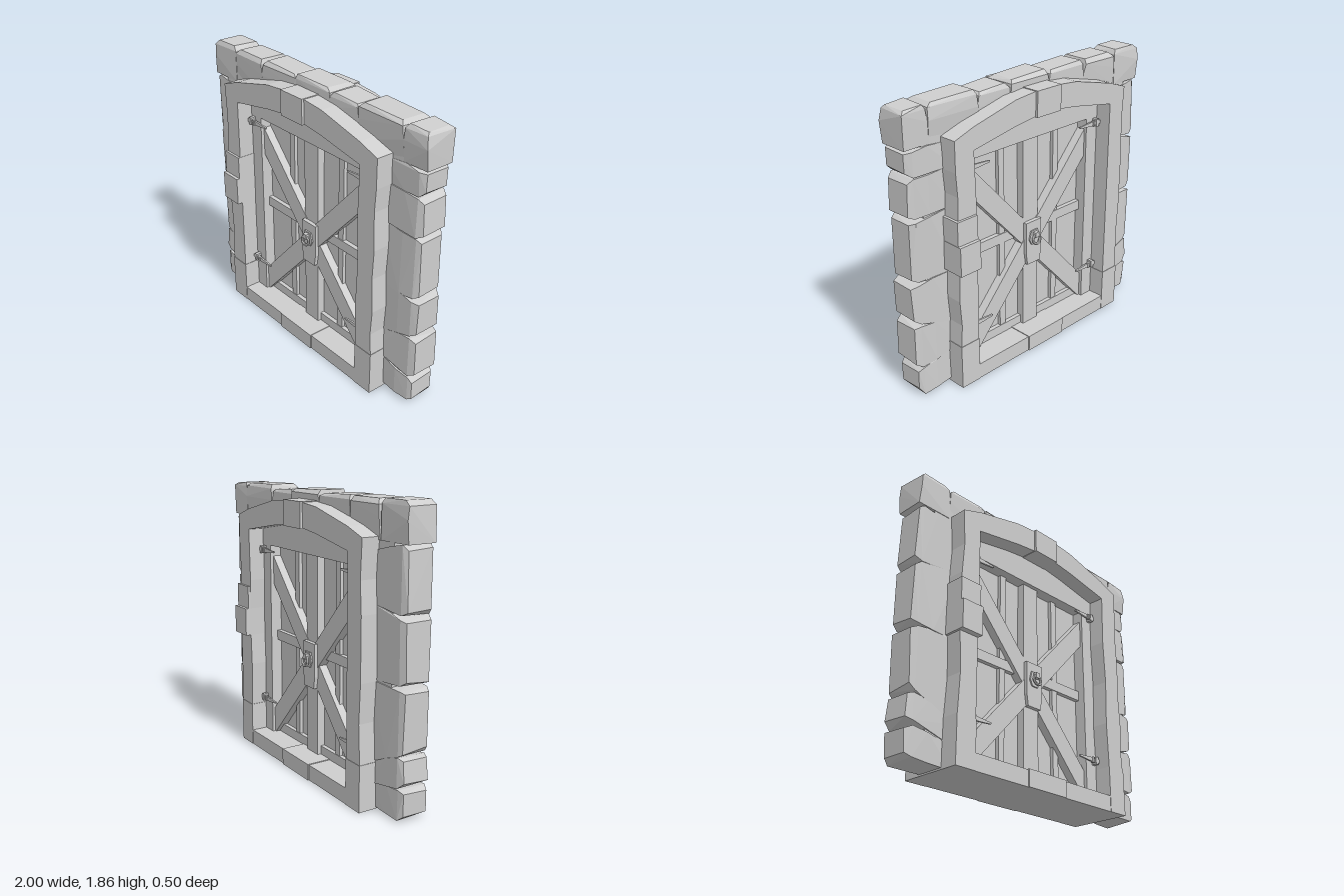
import * as THREE from 'three';
import { ConvexGeometry } from 'three/addons/geometries/ConvexGeometry.js';

const stoneGrey = new THREE.MeshStandardMaterial({ color: 0xcecece, flatShading: true });
stoneGrey.name = 'stoneGrey';

let seed = 11;
function rand(a, b) {
  seed = (seed * 16807) % 2147483647;
  return a + (b - a) * (seed / 2147483647);
}

function add(parent, name, geometry) {
  const mesh = new THREE.Mesh(geometry, stoneGrey);
  mesh.name = name;
  parent.add(mesh);
  return mesh;
}

// Box given by its limits
function block(parent, name, x0, x1, y0, y1, z0, z1) {
  const g = new THREE.BoxGeometry(x1 - x0, y1 - y0, z1 - z0);
  g.translate((x0 + x1) / 2, (y0 + y1) / 2, (z0 + z1) / 2);
  return add(parent, name, g);
}

// Flat outline extruded from z0 to z1, with an optional hole
function plate(parent, name, pts, z0, z1, hole) {
  const toV = (p) => new THREE.Vector2(p[0], p[1]);
  const shape = new THREE.Shape(pts.map(toV));
  if (hole) shape.holes.push(new THREE.Path(hole.map(toV)));
  const g = new THREE.ExtrudeGeometry(shape, { depth: z1 - z0, bevelEnabled: false });
  g.translate(0, 0, z0);
  return add(parent, name, g);
}

// Rough stone: spans innerEnds at the inner line, outerEnds at the outer edge, rounded off outside
function roughStone(parent, name, innerEnds, outerEnds, inner, outer, place) {
  const pts = [];
  const sections = [[0, 0, 0.094], [0.55, 0, 0.1], [0.86, 0.004, 0.1], [1, 0.02, 0.084]];
  for (const [t, inset, z] of sections) {
    const r = inner + (outer - inner) * t;
    for (const k of [0, 1]) {
      const base = innerEnds[k] + (outerEnds[k] - innerEnds[k]) * Math.min(1, t * 1.3);
      const trim = (k ? -1 : 1) * (inset + (t === 1 ? rand(0, 0.015) : 0));
      const slope = t === 1 ? Math.sign(outer) * rand(0, 0.018) : 0;
      for (const side of [-1, 1]) {
        const jitter = t > 0 ? rand(-0.01, 0.01) : 0;
        pts.push(place(base + trim + jitter, r - slope, side * (z + rand(-0.007, 0.006))));
      }
    }
  }
  add(parent, name, new ConvexGeometry(pts));
}

function buildWall() {
  const wall = new THREE.Group();
  wall.name = 'stoneWall';
  // Wall body, nearly flush with the rough stones along its edge
  plate(wall, 'wallBody', [[-0.86, 0.03], [0.87, 0.03], [0.89, 0.8], [0.87, 1.78], [-0.87, 1.78], [-0.87, 0.8]], -0.092, 0.092,
    [[-0.64, 0.05], [-0.64, 1.62], [0.64, 1.62], [0.64, 0.05]]);
  const sides = [
    { outer: -1, edges: [0.01, 0.21, 0.4, 0.81, 1.22, 1.62], roots: [0.01, 0.15, 0.28, 0.8, 1.26, 1.55] },
    { outer: 0.995, edges: [0.01, 0.2, 0.51, 0.78, 1.19, 1.45, 1.62], roots: [0.03, 0.25, 0.42, 0.78, 1.2, 1.45, 1.6] },
  ];
  for (const { outer, edges, roots } of sides) {
    for (let i = 0; i < edges.length - 1; i++) {
      roughStone(wall, 'sideStone', [roots[i], roots[i + 1]], [edges[i] + 0.004, edges[i + 1] - 0.004],
        Math.sign(outer) * 0.66, outer, (s, r, z) => new THREE.Vector3(r, Math.max(s, 0), z));
    }
  }
  const top = [-1, -0.755, -0.455, -0.13, 0.2, 0.455, 0.82, 1];
  const heights = [1.86, 1.85, 1.855, 1.86, 1.84, 1.86, 1.855];
  heights.forEach((h, i) => {
    const ends = [top[i] + 0.003, top[i + 1] - 0.003];
    roughStone(wall, 'topStone', ends, ends, 1.62, h,
      (s, r, z) => new THREE.Vector3(THREE.MathUtils.clamp(s, -1, 1), r, z));
  });
  return wall;
}

function buildFrame() {
  const frame = new THREE.Group();
  frame.name = 'archedFrame';
  const outer = [
    [-0.735, 0], [0.735, 0], [0.735, 0.3], [0.725, 0.45], [0.737, 0.62], [0.725, 0.85], [0.735, 1.05],
    [0.725, 1.3], [0.735, 1.45], [0.735, 1.64], [0.59, 1.69], [0.26, 1.77], [0.1, 1.785],
    [-0.1, 1.785], [-0.26, 1.77], [-0.59, 1.69], [-0.735, 1.64], [-0.722, 1.4], [-0.735, 1.2],
    [-0.735, 0.8], [-0.722, 0.55], [-0.735, 0.3]];
  const hole = [
    [-0.595, 0.105], [-0.595, 1.55], [-0.26, 1.61], [-0.1, 1.63], [0.1, 1.63], [0.26, 1.61],
    [0.595, 1.55], [0.585, 1.2], [0.597, 0.9], [0.585, 0.6], [0.595, 0.3], [0.595, 0.105]];
  plate(frame, 'frameRing', outer, -0.21, 0.21, hole);
  block(frame, 'keystone', -0.105, 0.1, 1.625, 1.79, -0.226, 0.226);
  block(frame, 'sillStone', -0.17, 0.155, 0, 0.11, -0.218, 0.218);
  for (const s of [-1, 1]) {
    block(frame, 'postFoot', s * 0.665 - 0.073, s * 0.665 + 0.073, 0, 0.3, -0.213, 0.213);
  }
  return frame;
}

function buildHinge(side, y) {
  const hinge = new THREE.Group();
  hinge.name = 'hinge';
  block(hinge, 'hingeMount', -0.012, 0.012, -0.025, 0.025, -0.02, 0.022);
  block(hinge, 'hingePin', -0.035, 0.035, -0.012, 0.012, 0, 0.018);
  // Pointed strap
  plate(hinge, 'hingeStrap', [[0.01, -0.013], [0.06, -0.015], [0.165, -0.006], [0.165, 0.004], [0.06, 0.012], [0.01, 0.013]], 0.004, 0.016);
  const pivot = new THREE.CylinderGeometry(0.012, 0.012, 0.036, 8);
  pivot.translate(0.033, 0, 0.012);
  add(hinge, 'hingeBarrel', pivot);
  hinge.position.set(side * 0.565, y, 0.115);
  if (side > 0) hinge.rotation.z = Math.PI;
  return hinge;
}

// Everything on one face of the doorway
function buildDoorFace() {
  const face = new THREE.Group();
  face.name = 'doorFace';
  // Surround: stiles and head panel
  block(face, 'leftStile', 0.495, 0.62, 0.09, 1.6, 0, 0.1);
  block(face, 'rightStile', -0.62, -0.495, 0.09, 1.6, 0, 0.1);
  plate(face, 'headPanel', [[-0.62, 1.445], [0.62, 1.445], [0.62, 1.58], [0.1, 1.66], [-0.1, 1.66], [-0.62, 1.58]], 0, 0.102);
  // Battens and rails
  for (const x of [-0.232, 0.255]) block(face, 'batten', x - 0.024, x + 0.024, 0.1, 1.46, 0, 0.046);
  block(face, 'middleRail', -0.5, 0.5, 0.778, 0.845, 0, 0.052);
  block(face, 'bottomRail', -0.5, 0.5, 0.09, 0.168, 0, 0.05);
  block(face, 'centreBeam', -0.07, 0.062, 0.09, 1.46, 0, 0.074);
  // Crossed braces
  for (const s of [-1, 1]) {
    const pts = [[-0.5, 0.73 - s * 0.55 - 0.095], [0.5, 0.73 + s * 0.55 - 0.095],
      [0.5, 0.73 + s * 0.55 + 0.095], [-0.5, 0.73 - s * 0.55 + 0.095]];
    plate(face, 'brace', pts, 0, 0.079 + s * 0.002);
  }
  // Lock plate and ring handle
  plate(face, 'lockPlate', [[-0.055, 0.57], [0.057, 0.57], [0.07, 0.65], [0.07, 0.872], [-0.067, 0.872], [-0.067, 0.65]], 0.04, 0.102);
  plate(face, 'handlePlate', [[-0.025, 0.71], [0.025, 0.71], [0.045, 0.75], [0.03, 0.81], [-0.03, 0.81], [-0.045, 0.75]], 0.09, 0.112);
  block(face, 'handleBoss', -0.016, 0.016, 0.765, 0.8, 0.1, 0.137);
  const ring = add(face, 'ringHandle', new THREE.TorusGeometry(0.032, 0.009, 6, 12));
  ring.position.set(0, 0.75, 0.13);
  ring.rotation.x = -0.15;
  for (const side of [-1, 1]) for (const y of [0.35, 1.41]) face.add(buildHinge(side, y));
  // Projecting blocks on the post
  block(face, 'lowerPostBlock', -0.75, -0.593, 0.81, 1.0, 0, 0.248);
  block(face, 'upperPostBlock', -0.748, -0.593, 1.0, 1.155, 0, 0.226);
  return face;
}

export function createModel() {
  const model = new THREE.Group();
  model.name = 'archedDoorway';
  model.add(buildWall(), buildFrame());
  block(model, 'doorBoards', -0.6, 0.6, 0.08, 1.6, -0.022, 0.022);
  const front = buildDoorFace();
  const back = buildDoorFace();
  back.rotation.y = Math.PI;
  model.add(front, back);
  return model;
}
